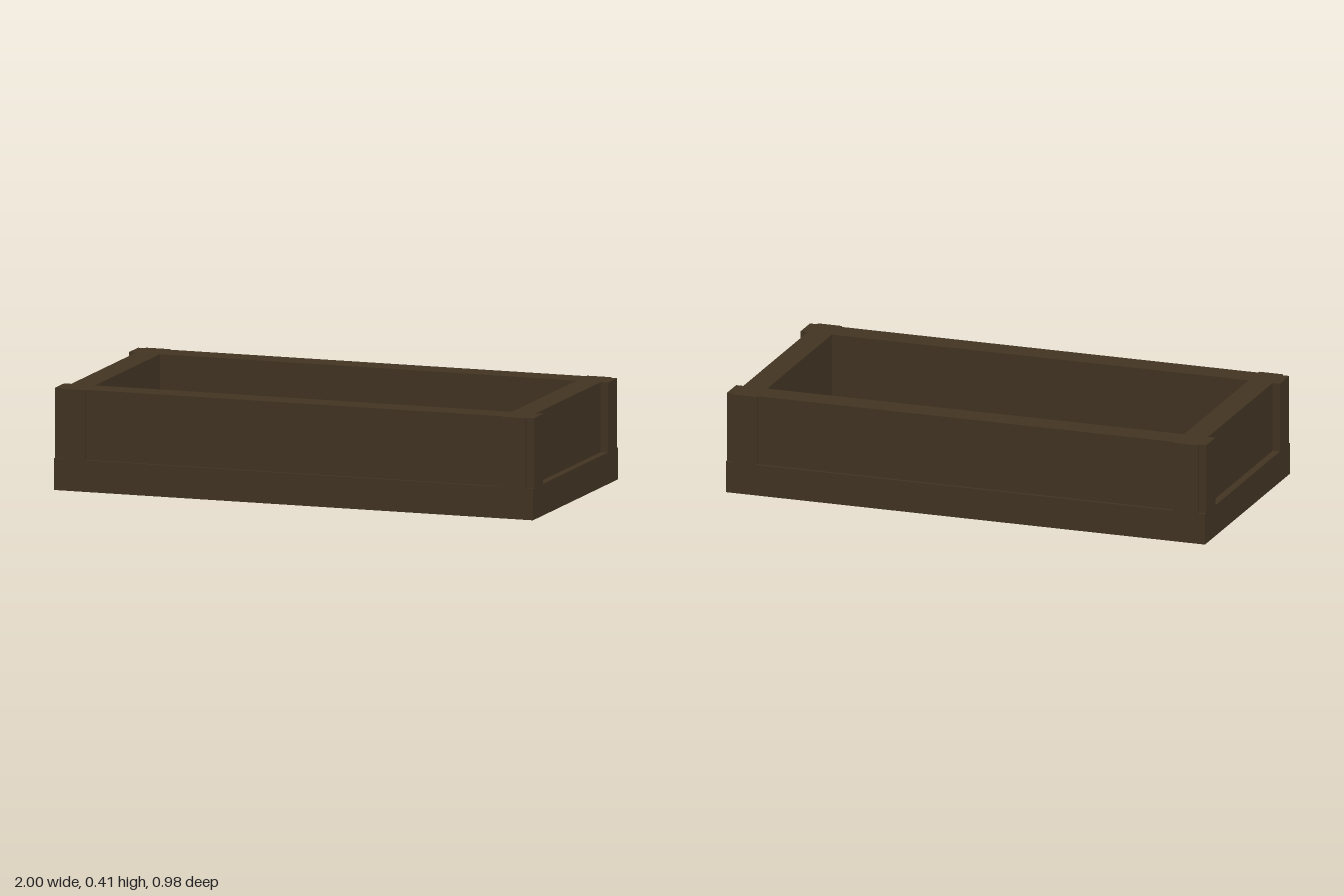
import * as THREE from 'three';

const HX = 1, HZ = 0.491;          // outer half sizes
const RX = 0.97, RZ = 0.479;       // recessed wall faces
const IX = 0.87, IZ = 0.372;       // inner opening, also where corner pads start
const BASE = 0.126, TOP = 0.405, SOIL = 0.165;

export function createModel() {
  const model = new THREE.Group();
  model.name = 'planterBox';

  const wood = new THREE.MeshStandardMaterial({ color: 0x433523 });
  wood.name = 'darkWood';
  const fill = new THREE.MeshStandardMaterial({ color: 0x8f7e3c });
  fill.name = 'straw';

  const add = (name, geometry, material, y) => {
    const mesh = new THREE.Mesh(geometry, material);
    mesh.name = name;
    mesh.position.y = y;
    model.add(mesh);
  };

  // Solid plinth
  add('base', new THREE.BoxGeometry(HX * 2, BASE, HZ * 2), wood, BASE / 2);

  // Walls with recessed panels, raised corner pads and notched corners
  const corner = [[HX, IZ], [HX, RZ], [RX, RZ], [RX, HZ], [IX, HZ], [IX, RZ]];
  const outline = [];
  for (const [sx, sz] of [[1, 1], [-1, 1], [-1, -1], [1, -1]]) {
    const points = [[RX, IZ], ...corner].map(([x, z]) => new THREE.Vector2(x * sx, z * sz));
    outline.push(...(sx * sz > 0 ? points : points.reverse()));
  }
  const shape = new THREE.Shape(outline);
  shape.holes.push(new THREE.Path([
    new THREE.Vector2(-IX, -IZ), new THREE.Vector2(-IX, IZ),
    new THREE.Vector2(IX, IZ), new THREE.Vector2(IX, -IZ),
  ]));
  const walls = new THREE.ExtrudeGeometry(shape, { depth: TOP - BASE, bevelEnabled: false });
  walls.rotateX(-Math.PI / 2);
  add('walls', walls, wood, BASE);

  // Bedding inside, with a narrow gap along the long walls
  add('bedding', new THREE.BoxGeometry(IX * 2, SOIL - BASE, 0.646), fill, (SOIL + BASE) / 2);

  return model;
}
